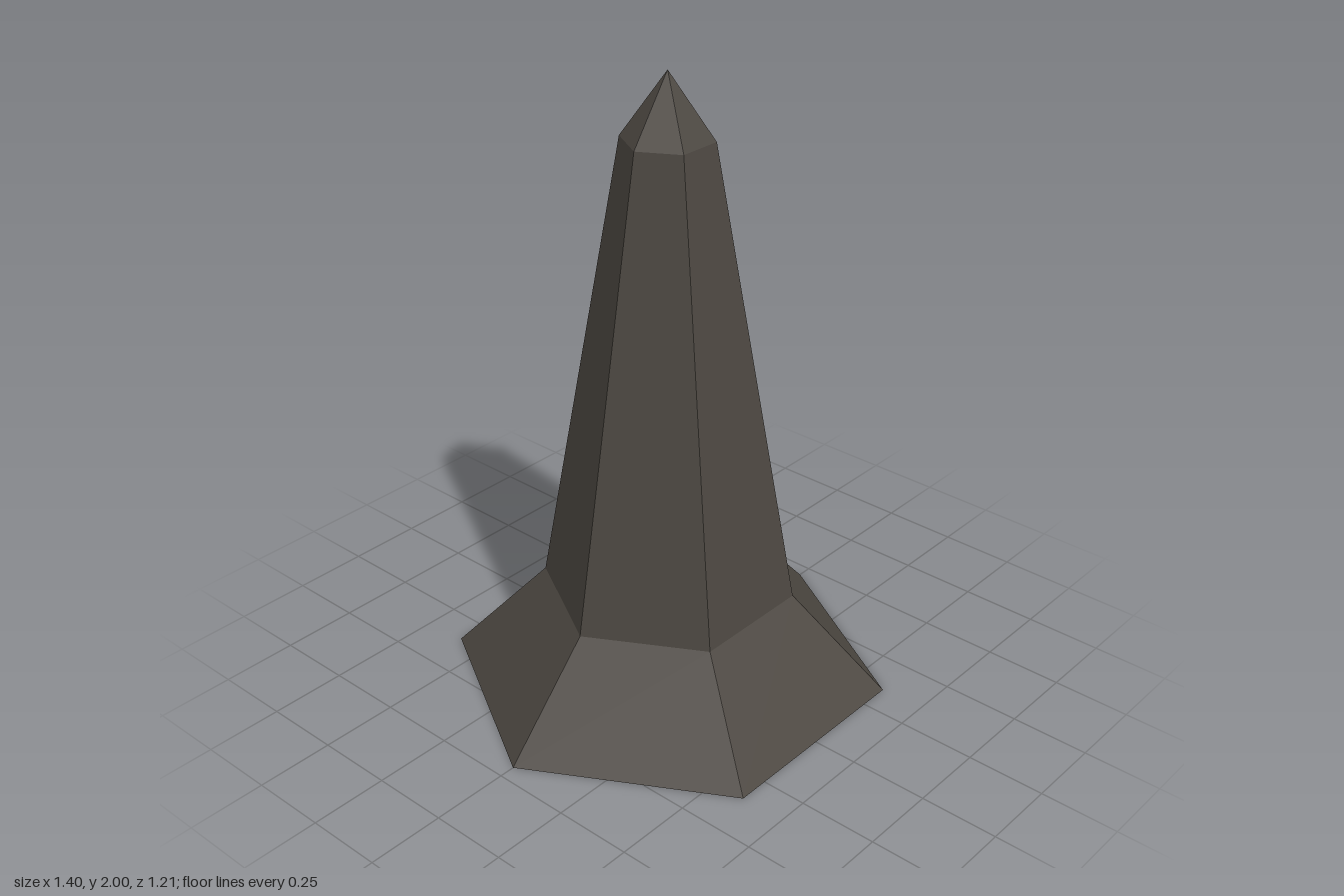
import * as THREE from 'three';

const SIDES = 6;

export function createModel() {
  const group = new THREE.Group();
  group.name = 'hexagonalSpike';

  const stone = new THREE.MeshStandardMaterial({
    color: 0x4c4741,
    flatShading: true,
    side: THREE.DoubleSide,
  });
  stone.name = 'dark stone';

  // Hollow six-sided section with corners on the x axis
  function addSection(name, bottomRadius, topRadius, bottomY, topY) {
    const height = topY - bottomY;
    const geometry = new THREE.CylinderGeometry(
      topRadius, bottomRadius, height, SIDES, 1, true, Math.PI / 2);
    geometry.translate(0, bottomY + height / 2, 0);
    const mesh = new THREE.Mesh(geometry, stone);
    mesh.name = name;
    group.add(mesh);
  }

  addSection('flaredBase', 0.7, 0.4, 0, 0.32); // open underneath
  addSection('shaft', 0.4, 0.14, 0.32, 1.8);
  addSection('tip', 0.14, 0, 1.8, 2);

  return group;
}
